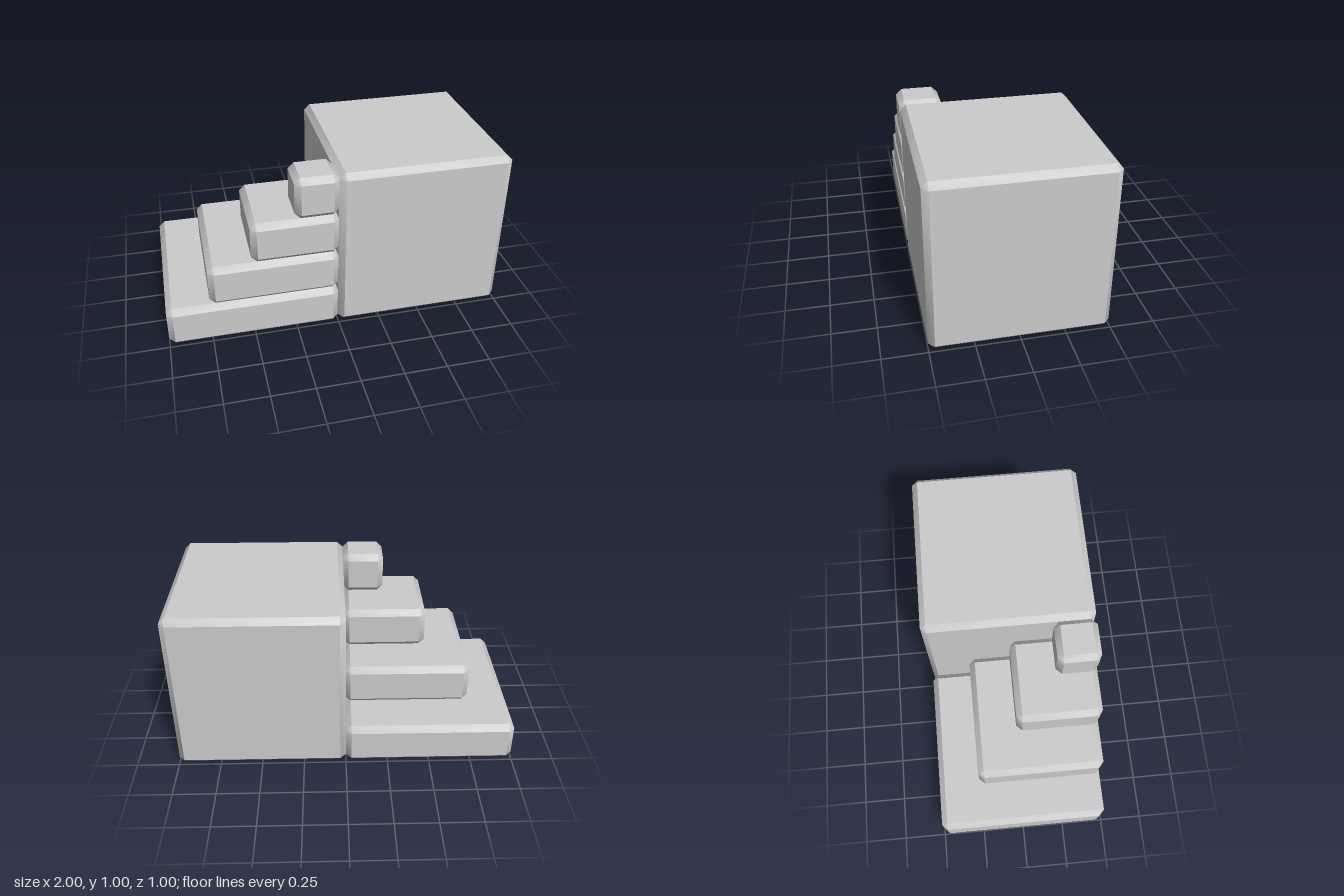
import * as THREE from 'three';
import { ConvexGeometry } from 'three/addons/geometries/ConvexGeometry.js';
import { toCreasedNormals } from 'three/addons/utils/BufferGeometryUtils.js';

const BEVEL = 0.034;
const material = new THREE.MeshStandardMaterial({ color: 0xcccccc });

// Box with straight chamfers: three points at each of its eight corners.
// Chamfers blend smoothly into the corner triangles; the faces stay sharp.
function chamferedBox(name, width, height, depth) {
  const half = new THREE.Vector3(width / 2, height / 2, depth / 2);
  const points = [];
  for (const sx of [-1, 1]) for (const sy of [-1, 1]) for (const sz of [-1, 1]) {
    for (const axis of ['x', 'y', 'z']) {
      const p = half.clone().subScalar(BEVEL);
      p[axis] = half[axis];
      points.push(p.multiply(new THREE.Vector3(sx, sy, sz)));
    }
  }
  const geometry = toCreasedNormals(new ConvexGeometry(points), THREE.MathUtils.degToRad(40));
  const mesh = new THREE.Mesh(geometry, material);
  mesh.name = name;
  return mesh;
}

export function createModel() {
  const model = new THREE.Group();
  model.name = 'steppedBlocks';

  // Large cube
  const cube = chamferedBox('cube', 1, 1, 1);
  cube.position.set(0.5, 0.5, 0);
  model.add(cube);

  // Four slabs shrinking toward the front corner beside the cube
  const steps = new THREE.Group();
  steps.name = 'steps';
  const rise = 0.25;
  for (let i = 0; i < 4; i++) {
    const size = 1 - i * rise;
    const step = chamferedBox(`step${i + 1}`, size, rise, size);
    step.position.set(-size / 2, (i + 0.5) * rise, 0.5 - size / 2);
    steps.add(step);
  }
  model.add(steps);

  return model;
}
